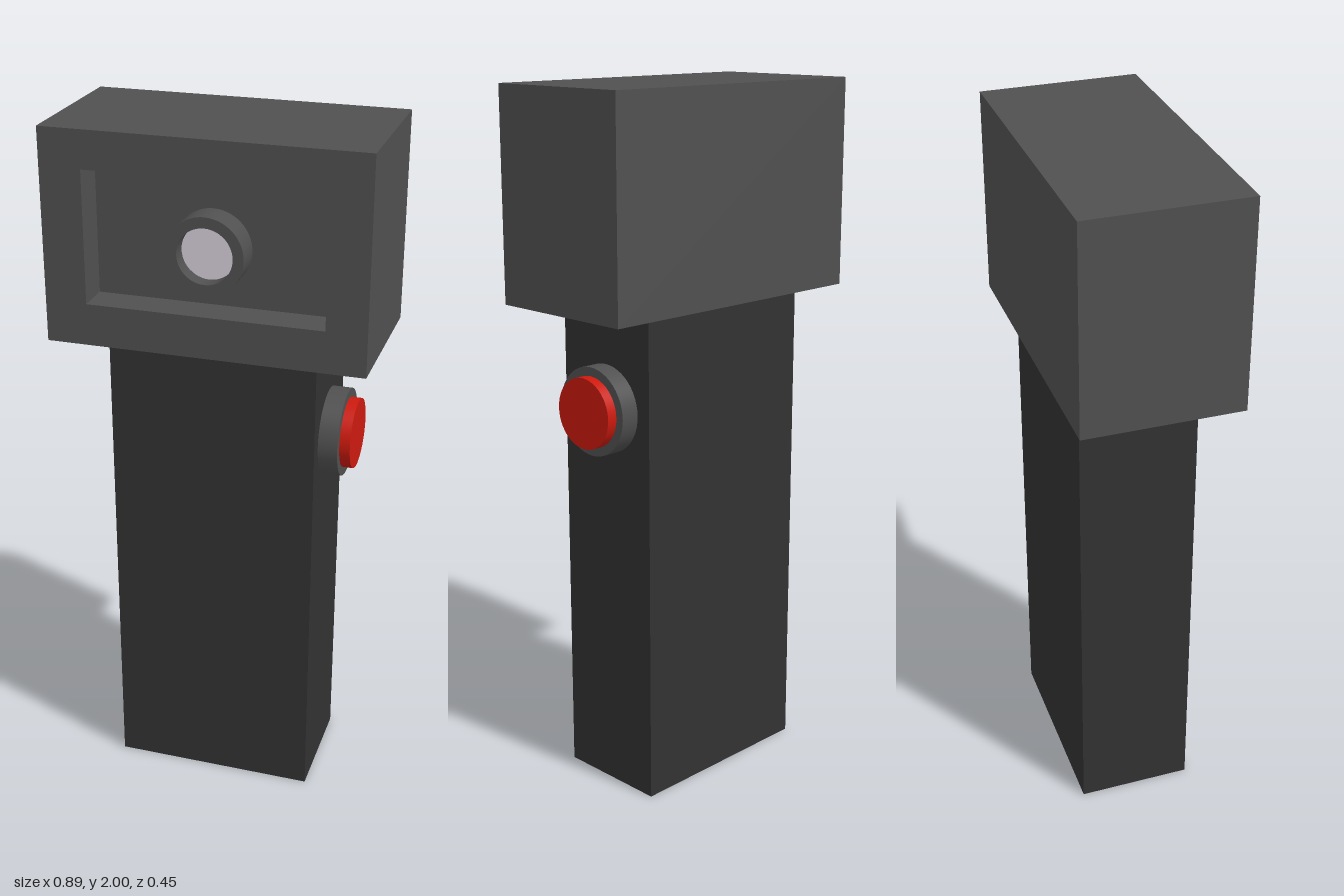
import * as THREE from 'three';

const mat = (color) => new THREE.MeshStandardMaterial({ color });

export function createModel() {
  const model = new THREE.Group();
  const grey = mat(0x505050), dark = mat(0x323232), red = mat(0xcc1a0e), glass = mat(0xd8d0dc);

  const add = (name, geometry, material, x, y, z) => {
    const mesh = new THREE.Mesh(geometry, material);
    mesh.name = name;
    mesh.position.set(x, y, z);
    model.add(mesh);
    return mesh;
  };
  const rect = (Type, x0, y0, x1, y1) => new Type([
    new THREE.Vector2(x0, y0), new THREE.Vector2(x1, y0),
    new THREE.Vector2(x1, y1), new THREE.Vector2(x0, y1),
  ]);

  // Handle
  add('handle', new THREE.BoxGeometry(0.59, 1.41, 0.334), dark, 0, 0.705, -0.015);

  // Head: solid back with a recessed front frame
  const front = 0.226, recess = 0.1, backDepth = 2 * front - recess;
  add('headBack', new THREE.BoxGeometry(0.89, 0.593, backDepth), grey, 0, 1.7035, -front + backDepth / 2);
  const frame = rect(THREE.Shape, -0.445, 1.407, 0.445, 2);
  frame.holes.push(rect(THREE.Path, -0.328, 1.525, 0.333, 1.895));
  add('headFrame', new THREE.ExtrudeGeometry(frame, { depth: recess, bevelEnabled: false }), grey, 0, 0, front - recess);

  // Lens ring standing on the recess floor, with the lens sunk inside it
  const ring = new THREE.Shape().absarc(0, 0, 0.107, 0, Math.PI * 2);
  ring.holes.push(new THREE.Path().absarc(0, 0, 0.077, 0, Math.PI * 2, true));
  add('lensRing', new THREE.ExtrudeGeometry(ring, { depth: 0.08, bevelEnabled: false, curveSegments: 48 }),
    grey, 0, 1.685, front - recess);
  const lens = add('lens', new THREE.CylinderGeometry(0.077, 0.077, 0.036, 48), glass, 0, 1.685, 0.144);
  lens.rotation.x = Math.PI / 2;

  // Side button: collar and red cap
  const disc = (name, radius, x0, x1, material) => {
    const mesh = add(name, new THREE.CylinderGeometry(radius, radius, x1 - x0, 48), material, (x0 + x1) / 2, 1.13, -0.013);
    mesh.rotation.z = -Math.PI / 2;
  };
  disc('buttonCollar', 0.125, 0.28, 0.35, grey);
  disc('buttonCap', 0.1, 0.34, 0.38, red);

  return model;
}
